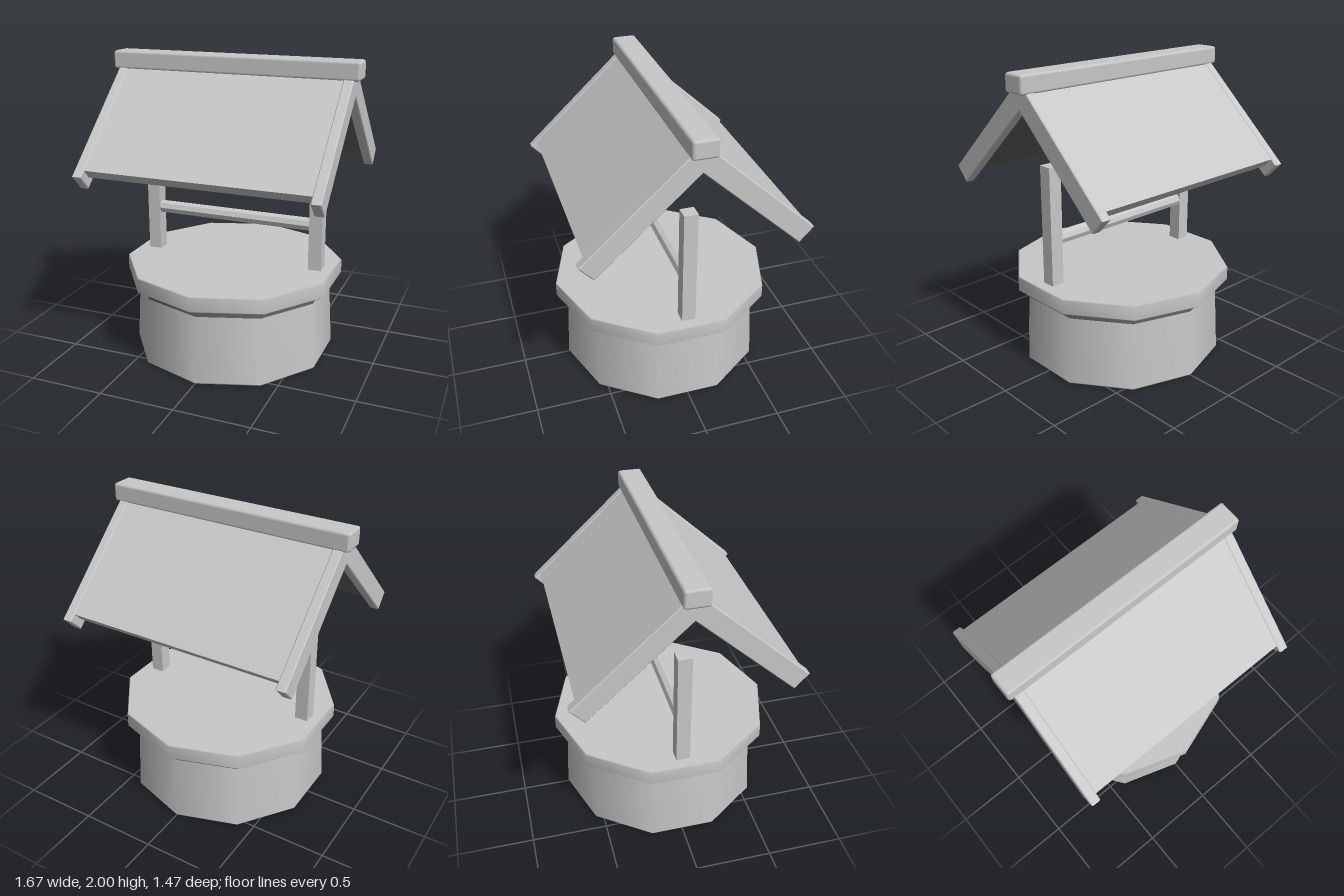
import * as THREE from 'three';
import { RoundedBoxGeometry } from 'three/addons/geometries/RoundedBoxGeometry.js';

const SIDES = 10;
const SLOPE = 0.744; // roof pitch in radians
const APEX = 1.78; // height of the gable's inner corner

// Smooth ten-sided solid through [radius, y] points, from the bottom up
function turned(points) {
  return new THREE.LatheGeometry(points.map(([r, y]) => new THREE.Vector2(r, y)), SIDES);
}

// Inverted V running along x; n0..n1 is its depth measured square to the slope
function gable(length, n0, n1, width, bevel = 0) {
  const c = Math.cos(SLOPE), s = Math.sin(SLOPE);
  const end = (n) => [length * c + n * s, APEX - length * s + n * c];
  const [zi, yi] = end(n0), [zo, yo] = end(n1);
  const shape = new THREE.Shape([
    [0, APEX + n0 / c], [zi, yi], [zo, yo],
    [0, APEX + n1 / c], [-zo, yo], [-zi, yi],
  ].map(([x, y]) => new THREE.Vector2(x, y)));
  const depth = width - 2 * bevel;
  return new THREE.ExtrudeGeometry(shape, {
    depth, bevelEnabled: bevel > 0, bevelSegments: 1,
    bevelSize: bevel, bevelThickness: bevel, bevelOffset: -bevel,
  }).translate(0, 0, -depth / 2).rotateY(-Math.PI / 2);
}

export function createModel() {
  const model = new THREE.Group();
  model.name = 'well';

  const material = (name, color) => {
    const m = new THREE.MeshStandardMaterial({ color });
    m.name = name;
    return m;
  };
  const grey = material('lightGrey', 0xc8c8c8);
  const dark = material('darkGrey', 0x626262);

  const add = (name, geometry, mat, x = 0, y = 0, z = 0) => {
    const mesh = new THREE.Mesh(geometry, mat);
    mesh.name = name;
    mesh.position.set(x, y, z);
    model.add(mesh);
  };

  // Tapered wall, closed below
  add('wall', turned([[0, 0], [0.675, 0], [0.684, 0.012], [0.658, 0.46]]), grey);

  // Dark neck between wall and rim
  add('neck', new THREE.CylinderGeometry(0.655, 0.658, 0.06, SIDES, 1, true), dark, 0, 0.49, 0);

  // Closed rim slab
  add('rim', turned([
    [0, 0.52], [0.728, 0.52], [0.736, 0.528], [0.736, 0.617], [0.728, 0.625], [0, 0.625],
  ]), grey);

  // Posts and gable boards at both ends
  for (const side of [1, -1]) {
    const label = side > 0 ? 'left' : 'right';
    add(label + 'Post', new THREE.BoxGeometry(0.088, 0.81, 0.09), grey, side * 0.584, 1.005, 0);
    add(label + 'GableBoard', gable(0.856, 0, 0.131, 0.064, 0.006), grey, side * 0.765, 0, 0);
  }

  // Eight-sided axle between the posts
  const axle = new THREE.CylinderGeometry(0.045, 0.045, 1.1, 8).toNonIndexed();
  axle.computeVertexNormals();
  add('axle', axle.rotateZ(Math.PI / 2), grey, 0, 0.925, 0);

  // Roof panels with a dark lining, and the ridge beam
  add('roof', gable(0.802, 0.05, 0.126, 1.48), grey);
  add('roofLining', gable(0.8, 0.046, 0.05, 1.478), dark);
  add('ridgeBeam', new RoundedBoxGeometry(1.67, 0.12, 0.16, 1, 0.018), grey, 0, 1.94, 0);

  return model;
}
